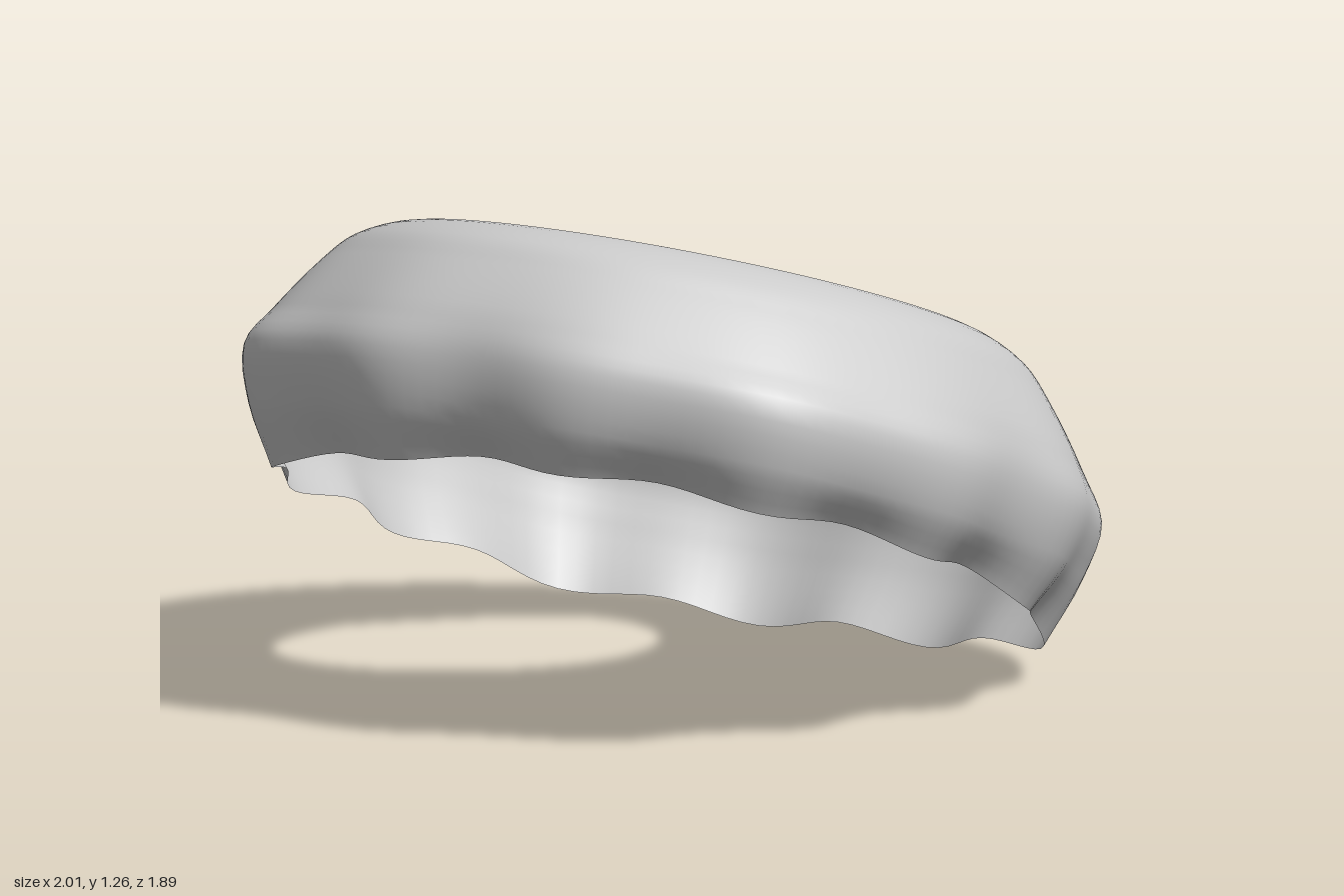
import * as THREE from 'three';
import { ParametricGeometry } from 'three/addons/geometries/ParametricGeometry.js';

const TILT = 0.361;
const LEAN = 0.13; // upper part of the ring sits further forward than the rim

// Radial section of the icing at angle a (0 = front), from hole edge to wavy rim
function section(a) {
  const sin = Math.sin(a), cos = Math.cos(a);
  const lobes = Math.cos(12 * a), square = Math.cos(4 * a), side = sin * sin;
  const R = 1.04 - 0.035 * square - 0.012 * lobes;
  const hole = 1 / Math.hypot(sin / 0.385, cos / 0.48);
  const rim = 0.308 + 0.014 * lobes + 0.008 * square + 0.04 * cos
    + 0.015 * side + 0.015 * sin * (1 + cos);
  const bulge = (r, k) => r + k * (R - 1); // squareness grows towards the rim
  const points = [
    [hole, 0.865 - 0.03 * side],
    [hole * 0.6 + 0.65 * 0.4, 0.918],
    [0.65, 0.951],
    [0.725, 0.956],
    [bulge(0.835, 0.05), 0.905],
    [bulge(0.893, 0.2), 0.835],
    [bulge(0.978, 0.5), 0.69],
    [R, 0.59],
    [0.97 * R - 0.006 * lobes, 0.45],
    [0.895 * R - 0.012 * lobes, rim],
  ];
  return new THREE.CatmullRomCurve3(points.map(([r, y]) => new THREE.Vector3(r, y, 0)));
}

export function createModel() {
  const group = new THREE.Group();
  group.name = 'ringIcing';

  // Open icing shell swept around the ring
  const p = new THREE.Vector3();
  let lastAngle = null, curve = null;
  const geometry = new ParametricGeometry((u, v, target) => {
    const a = -u * Math.PI * 2;
    if (a !== lastAngle) { curve = section(a); lastAngle = a; }
    curve.getPoint(Math.min(1, Math.max(0, v)), p);
    target.set(p.x * Math.sin(a), p.y, p.x * Math.cos(a) + LEAN * (p.y - 0.62));
  }, 144, 36);

  // Tip the ring back, then centre it and stand it on the ground
  geometry.rotateX(-TILT);
  geometry.computeBoundingBox();
  const { min, max } = geometry.boundingBox;
  geometry.translate(-(min.x + max.x) / 2, -min.y, -(min.z + max.z) / 2);

  const icing = new THREE.Mesh(geometry, new THREE.MeshStandardMaterial({
    color: 0xcccccc, side: THREE.DoubleSide,
  }));
  icing.name = 'icingShell';
  group.add(icing);
  return group;
}
